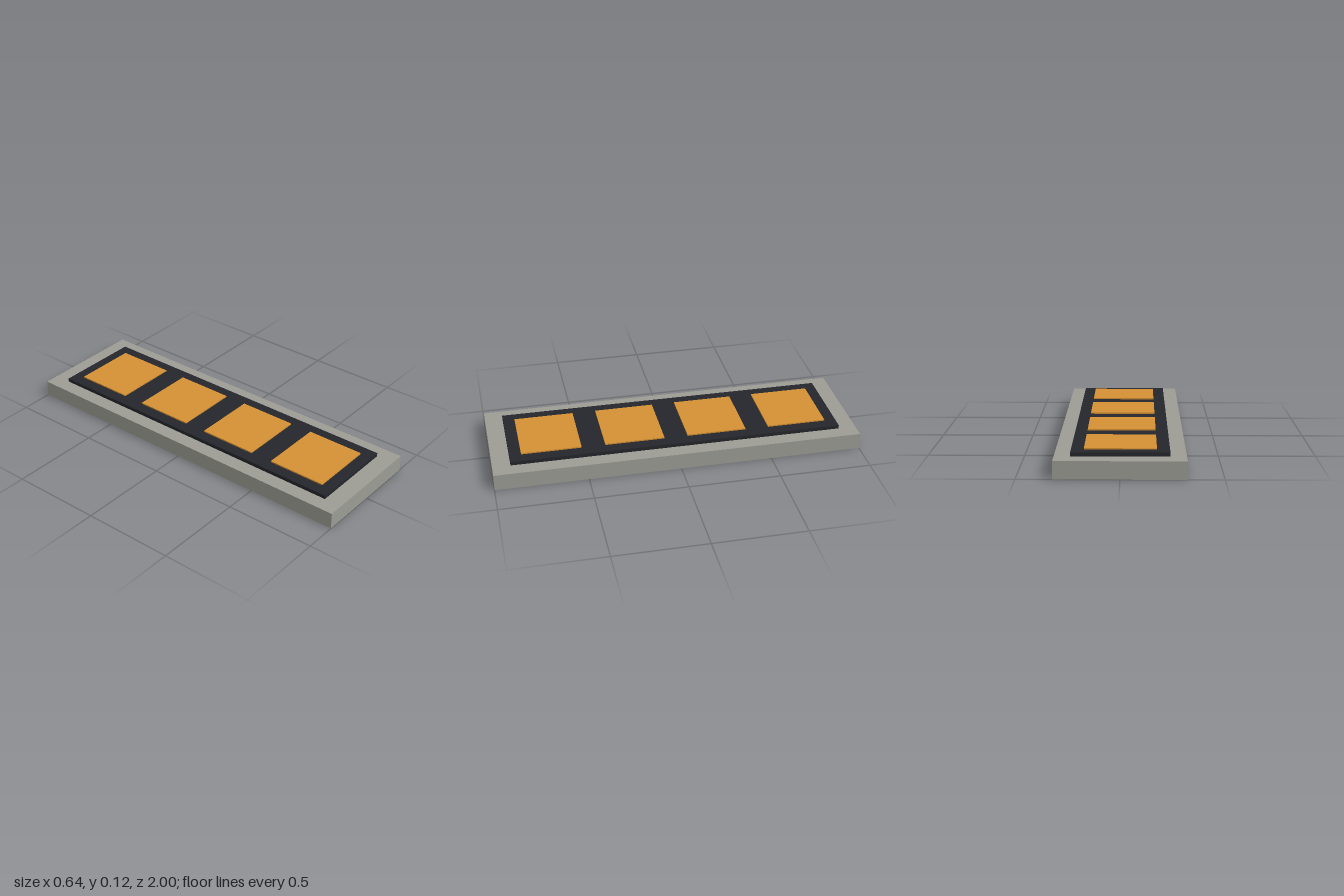
import * as THREE from 'three';

const SLAB = { w: 0.644, h: 0.09, d: 2 };
const PANEL = { w: 0.484, h: 0.11, d: 1.806 };
const PAD = { w: 0.356, d: 0.324, pitch: 0.452, top: 0.117 };

// Rectangle centred on the origin, added to a shape or hole path
function rectangle(path, w, d) {
  path.moveTo(-w / 2, -d / 2);
  path.lineTo(w / 2, -d / 2);
  path.lineTo(w / 2, d / 2);
  path.lineTo(-w / 2, d / 2);
  path.closePath();
  return path;
}

function addMesh(group, name, geometry, material) {
  const mesh = new THREE.Mesh(geometry, material);
  mesh.name = name;
  group.add(mesh);
  return mesh;
}

export function createModel() {
  const model = new THREE.Group();
  model.name = 'lightPanel';

  const stone = new THREE.MeshStandardMaterial({ color: 0x9c9c95 });
  const dark = new THREE.MeshStandardMaterial({ color: 0x24262b });
  const amber = new THREE.MeshStandardMaterial({ color: 0xd49134 });

  // Surrounding slab, open in the middle so the panel shows underneath
  const outline = rectangle(new THREE.Shape(), SLAB.w, SLAB.d);
  outline.holes.push(rectangle(new THREE.Path(), PANEL.w, PANEL.d));
  const slab = new THREE.ExtrudeGeometry(outline, { depth: SLAB.h, bevelEnabled: false });
  slab.rotateX(-Math.PI / 2);
  addMesh(model, 'slab', slab, stone);

  // Dark panel, full height through the slab and standing proud of it
  const panel = new THREE.BoxGeometry(PANEL.w, PANEL.h, PANEL.d);
  addMesh(model, 'panel', panel, dark).position.y = PANEL.h / 2;

  // Row of four thin amber pads
  const thickness = PAD.top - PANEL.h + 0.004;
  const padGeometry = new THREE.BoxGeometry(PAD.w, thickness, PAD.d);
  for (let i = 0; i < 4; i++) {
    const pad = addMesh(model, `pad${i + 1}`, padGeometry, amber);
    pad.position.set(0, PAD.top - thickness / 2, (i - 1.5) * PAD.pitch);
  }

  return model;
}
